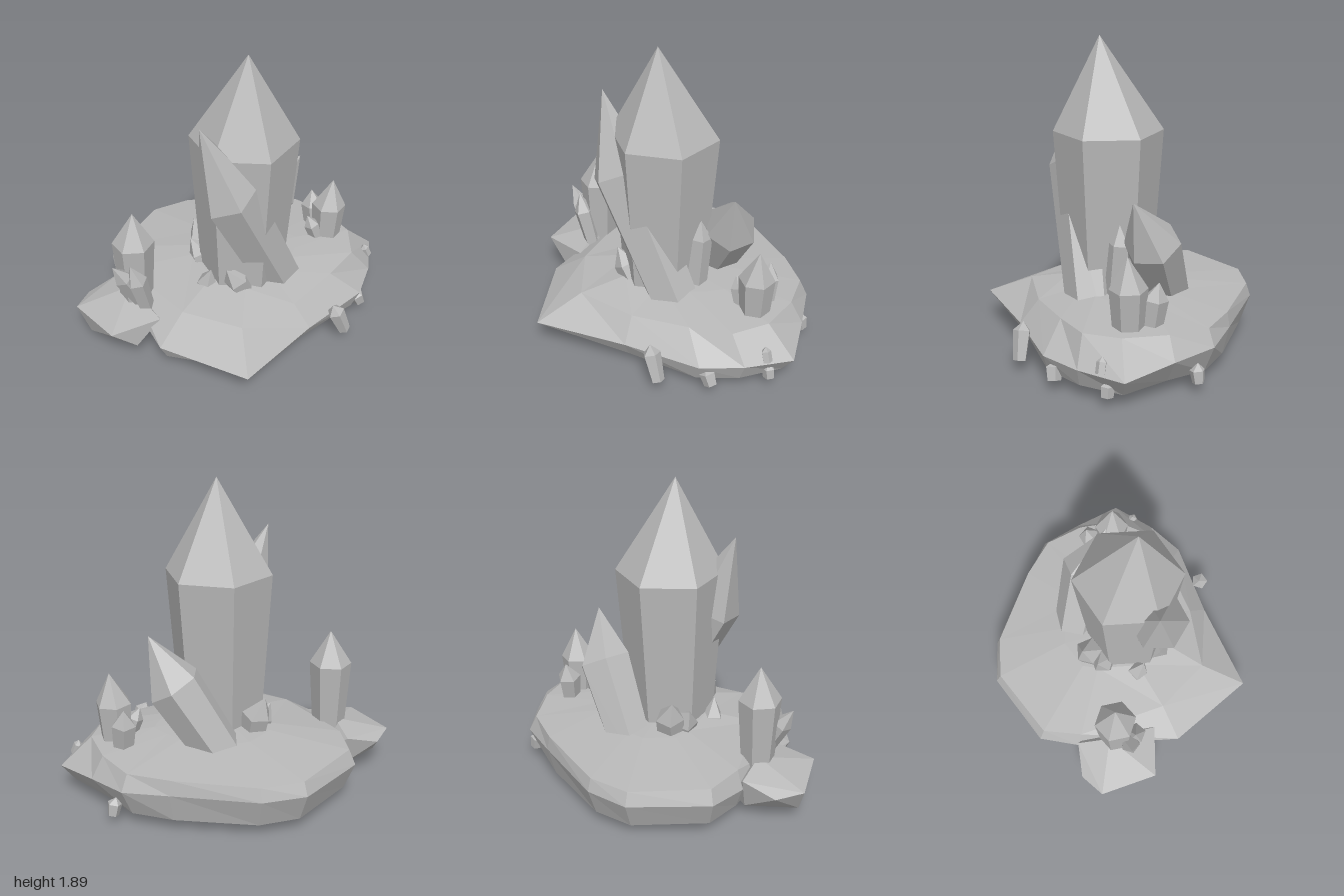
import * as THREE from 'three';
import { ConvexGeometry } from 'three/addons/geometries/ConvexGeometry.js';

const V = (p) => new THREE.Vector3(...p);
const stone = new THREE.MeshStandardMaterial({ color: 0xb8b8b8 });
stone.name = 'greyStone';

// Faceted skin over rings of points, closed by a low and a high centre point
function loft(low, rings, high) {
  const out = [];
  const tri = (a, b, c) => out.push(...a.toArray(), ...b.toArray(), ...c.toArray());
  const n = rings[0].length;
  for (let i = 0; i < n; i++) {
    const j = (i + 1) % n;
    tri(low, rings[0][i], rings[0][j]);
    for (let k = 0; k + 1 < rings.length; k++) {
      const a = rings[k], b = rings[k + 1];
      tri(a[i], b[i], b[j]);
      tri(a[i], b[j], a[j]);
    }
    const top = rings[rings.length - 1];
    tri(high, top[j], top[i]);
  }
  const g = new THREE.BufferGeometry();
  g.setAttribute('position', new THREE.Float32BufferAttribute(out, 3));
  g.computeVertexNormals();
  return g;
}

// Pointed prism: foot and shoulder rings square to the axis, then a tip
function crystal(foot, shoulder, tip, rFoot, rShoulder, sides = 6, turn = 0) {
  const a = V(foot), b = V(shoulder);
  const q = new THREE.Quaternion().setFromUnitVectors(
    new THREE.Vector3(0, 1, 0), b.clone().sub(a).normalize());
  const ring = (c, r) => Array.from({ length: sides }, (_, i) => {
    const t = turn + (i / sides) * Math.PI * 2;
    return new THREE.Vector3(Math.cos(t) * r, 0, Math.sin(t) * r).applyQuaternion(q).add(c);
  });
  return loft(a, [ring(a, rFoot), ring(b, rShoulder)], V(tip));
}

export function createModel() {
  const group = new THREE.Group();
  const add = (name, geometry) => {
    const m = new THREE.Mesh(geometry, stone);
    m.name = name;
    group.add(m);
  };

  // Ground slab: x, z, rim height, underside inset, top inset, top height
  const rim = [
    [-0.25, -0.84, 0.25, 0.93, 0.97, 0.33],
    [0.27, -0.81, 0.25, 0.95, 0.98, 0.34],
    [0.55, -0.78, 0.24, 0.92, 0.95, 0.34],
    [0.76, -0.61, 0.22, 0.9, 0.92, 0.35],
    [1.0, -0.4, 0.18, 0.92, 0.82, 0.35],
    [0.93, -0.11, 0.18, 0.95, 0.86, 0.34],
    [0.82, 0.13, 0.18, 0.94, 0.76, 0.33],
    [0.44, 0.43, 0.18, 0.9, 0.8, 0.31],
    [0.01, 0.83, 0.18, 0.76, 0.64, 0.31],
    [-0.49, 0.52, 0.18, 0.92, 0.7, 0.32],
    [-0.74, -0.09, 0.22, 0.92, 0.93, 0.33],
    [-0.78, -0.34, 0.24, 0.92, 0.95, 0.33],
    [-0.5, -0.75, 0.25, 0.92, 0.96, 0.33],
  ];
  add('groundSlab', loft(V([0, 0.07, 0]), [
    rim.map(([x, z, , f]) => V([x * f, 0.07, z * f])),
    rim.map(([x, z, y]) => V([x, y, z])),
    rim.map(([x, z, , , f, y]) => V([x * f, y, z * f])),
    rim.map(([x, z]) => V([0.05 + x * 0.4, 0.385, -0.08 + z * 0.4])),
  ], V([0.05, 0.4, -0.08])));

  // Boulder on the right-hand edge of the slab
  add('sideBoulder', new ConvexGeometry([
    [-1, 0.24, 0.16], [-0.93, 0.22, 0], [-0.92, 0.07, 0.2], [-0.74, 0.28, -0.09],
    [-0.78, 0.24, 0.45], [-0.63, 0.1, 0.4], [-0.48, 0.26, 0.35], [-0.66, 0.33, 0.1],
    [-0.5, 0.08, 0], [-0.72, 0.08, -0.05],
  ].map(V)));

  // Large crystals
  add('mainCrystal', crystal([0.06, 0.01, -0.01], [0.07, 1.32, -0.01], [0.085, 1.88, 0.04], 0.24, 0.33, 6, 0.15));
  add('leaningCrystal', crystal([0.38, 0.07, -0.03], [-0.05, 1.08, 0.22], [-0.21, 1.55, 0.26], 0.15, 0.185, 6, 0.2));
  add('backCrystal', crystal([-0.13, 0.06, -0.38], [0.3, 0.72, -0.35], [0.46, 1.0, -0.28], 0.13, 0.17, 6, 0.45));
  add('rightCrystal', crystal([-0.62, 0.1, 0.13], [-0.62, 0.7, 0.13], [-0.615, 0.91, 0.13], 0.09, 0.13, 6, 0));
  add('leftCrystal', crystal([0.66, 0.12, -0.32], [0.675, 0.58, -0.32], [0.695, 0.77, -0.32], 0.075, 0.11, 6, 0.15));

  // Small crystals growing around the large ones
  [
    [[-0.54, 0.2, 0.18], [-0.69, 0.52, 0.25], [-0.75, 0.63, 0.28], 0.05, 0.06],
    [[-0.55, 0.2, 0.21], [-0.61, 0.5, 0.26], [-0.645, 0.62, 0.27], 0.05, 0.065],
    [[0.61, 0.2, -0.42], [0.59, 0.5, -0.45], [0.585, 0.6, -0.47], 0.05, 0.075],
    [[0.62, 0.28, -0.28], [0.555, 0.46, -0.27], [0.525, 0.53, -0.27], 0.045, 0.05],
    [[0.3, 0.1, -0.1], [0.28, 0.69, -0.15], [0.29, 0.81, -0.15], 0.06, 0.075],
    [[-0.1, 0.03, -0.12], [-0.18, 0.48, -0.2], [-0.23, 0.6, -0.22], 0.07, 0.09],
    [[-0.06, 0.12, -0.06], [-0.2, 0.43, -0.1], [-0.26, 0.52, -0.11], 0.07, 0.08],
    [[0.2, 0.05, 0.1], [0.0, 0.44, 0.22], [-0.06, 0.53, 0.25], 0.07, 0.08],
    [[-0.25, 0.01, 0.06], [-0.17, 0.36, 0.14], [-0.15, 0.48, 0.17], 0.07, 0.07],
  ].forEach(([f, s, t, r0, r1], i) => add('smallCrystal' + (i + 1), crystal(f, s, t, r0, r1, 5, i)));

  // Stubby shards on the slab edge
  [
    [[0.685, 0.06, 0.33], [0.62, 0.22, 0.34], [0.6, 0.27, 0.34], 0.04, 0.055],
    [[0.84, 0.05, 0.06], [0.81, 0.12, 0.07], [0.79, 0.15, 0.07], 0.04, 0.05],
    [[0.95, 0.19, -0.25], [0.925, 0.25, -0.25], [0.92, 0.28, -0.25], 0.03, 0.03],
    [[0.93, 0.05, -0.28], [0.92, 0.11, -0.28], [0.91, 0.14, -0.28], 0.035, 0.04],
    [[0.62, 0.05, -0.71], [0.61, 0.12, -0.7], [0.6, 0.16, -0.7], 0.035, 0.045],
  ].forEach(([f, s, t, r0, r1], i) => add('edgeShard' + (i + 1), crystal(f, s, t, r0, r1, 5, i * 0.7)));

  return group;
}
